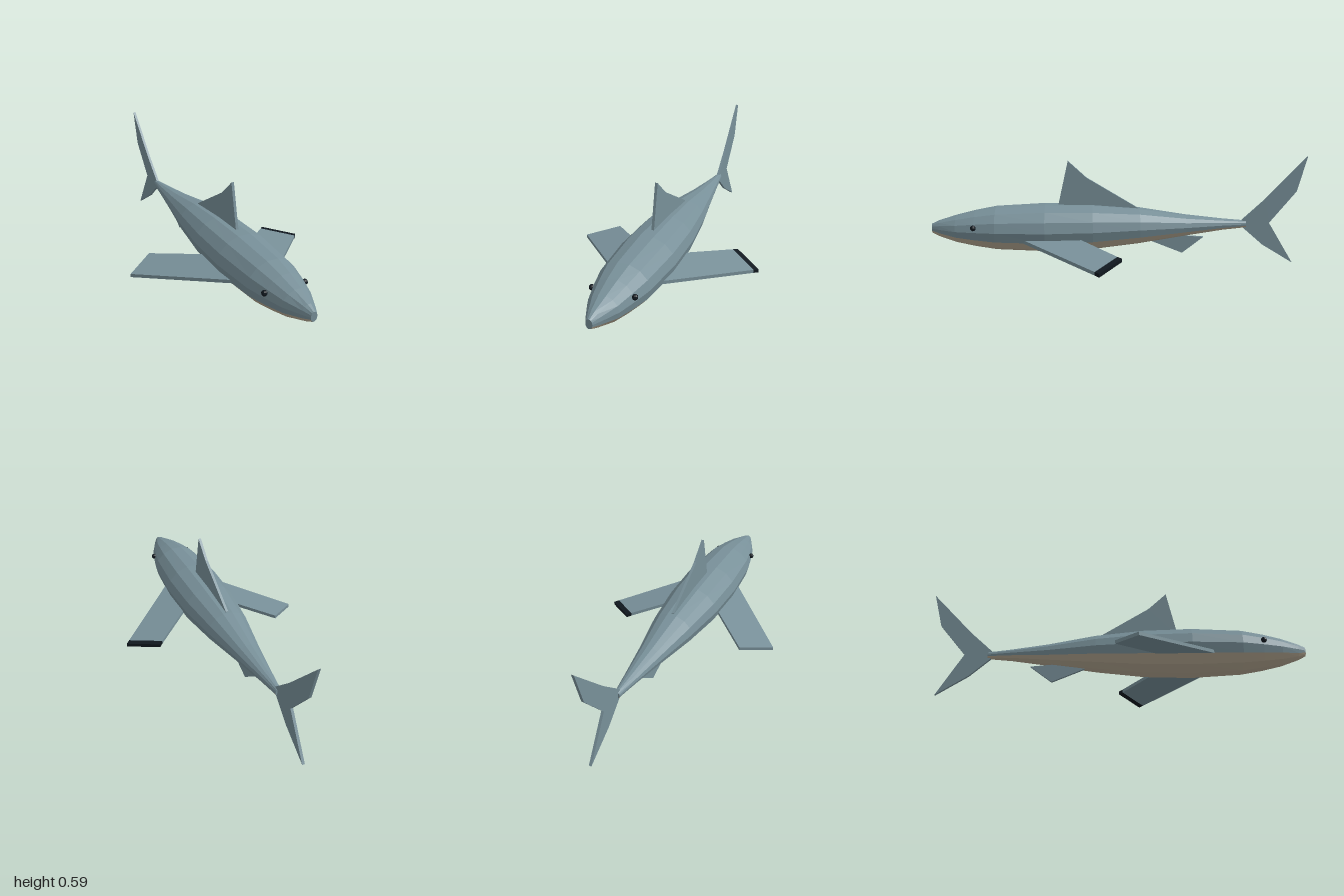
import * as THREE from 'three';

const SIDES = 14;
// Body stations from nose to tail: z, centre height, half width, half height
const STATIONS = [
  [1, 0.22, 0.017, 0.025],
  [0.96, 0.219, 0.038, 0.044],
  [0.87, 0.217, 0.08, 0.073],
  [0.77, 0.218, 0.108, 0.096],
  [0.66, 0.219, 0.133, 0.115],
  [0.4, 0.218, 0.152, 0.128],
  [0.15, 0.219, 0.145, 0.121],
  [-0.1, 0.222, 0.115, 0.096],
  [-0.35, 0.22, 0.069, 0.057],
  [-0.55, 0.222, 0.036, 0.031],
  [-0.68, 0.222, 0.016, 0.019],
];

export function createModel() {
  const model = new THREE.Group();
  model.name = 'fish';
  const make = (name, color) => {
    const m = new THREE.MeshStandardMaterial({ color, flatShading: true });
    m.name = name;
    return m;
  };
  const skin = make('slate skin', 0x789099);
  const cream = make('belly cream', 0xb5a892);
  const dark = make('eye dark', 0x10181f);

  const add = (name, geometry, material) => {
    const mesh = new THREE.Mesh(geometry, material);
    mesh.name = name;
    model.add(mesh);
    return mesh;
  };

  // Skin strips between side indices, lofted through all stations
  const point = (s, i) => {
    const [z, y, w, h] = STATIONS[s];
    const a = (i / SIDES) * Math.PI * 2;
    return [w * Math.cos(a), y + h * Math.sin(a), z];
  };
  const loft = (from, to, caps) => {
    const v = [];
    const last = STATIONS.length - 1;
    for (let s = 0; s < last; s++) {
      for (let i = from; i < to; i++) {
        const a = point(s, i), b = point(s, i + 1);
        const c = point(s + 1, i + 1), d = point(s + 1, i);
        v.push(...a, ...d, ...b, ...b, ...d, ...c);
      }
    }
    if (caps) {
      for (let i = 0; i < SIDES; i++) {
        v.push(0, STATIONS[0][1], STATIONS[0][0], ...point(0, i), ...point(0, i + 1));
        v.push(0, STATIONS[last][1], STATIONS[last][0], ...point(last, i + 1), ...point(last, i));
      }
    }
    const g = new THREE.BufferGeometry();
    g.setAttribute('position', new THREE.Float32BufferAttribute(v, 3));
    g.computeVertexNormals();
    return g;
  };
  add('back', loft(-1, 8, true), skin);
  add('belly', loft(8, 13, false), cream);

  // Flat plates of even thickness
  const plate = (points, depth) => {
    const shape = new THREE.Shape(points.map(([x, y]) => new THREE.Vector2(x, y)));
    return new THREE.ExtrudeGeometry(shape, { depth, bevelEnabled: false }).translate(0, 0, -depth / 2);
  };

  // Upright fins, outlined in z and y
  const uprightFin = (name, points) =>
    add(name, plate(points, 0.014).rotateY(-Math.PI / 2), skin);
  uprightFin('dorsalFin', [[0.335, 0.32], [0.277, 0.575], [0.18, 0.485], [-0.09, 0.32], [-0.09, 0.27]]);
  uprightFin('analFin', [[-0.14, 0.16], [-0.165, 0.135], [-0.335, 0.065], [-0.45, 0.153], [-0.3, 0.165]]);
  uprightFin('tailFin', [
    [-0.655, 0.24], [-0.78, 0.355], [-1, 0.588], [-0.95, 0.4],
    [-0.807, 0.227], [-0.945, 0], [-0.775, 0.105], [-0.655, 0.21],
  ]);

  // Side fins, outlined in x and z, drooping away from the body
  const sideFin = (name, points, side, material) => {
    const g = plate(points.map(([x, z]) => [x * side, z]), 0.018).rotateX(Math.PI / 2);
    const p = g.attributes.position;
    for (let i = 0; i < p.count; i++) {
      p.setY(i, p.getY(i) + 0.196 - 0.184 * Math.abs(p.getX(i)));
    }
    g.computeVertexNormals();
    add(name, g, material);
  };
  const front = [0.495, 0.125], rear = [0.345, 0.01];
  const root = [[0.12, 0.225], [0.12, 0.52]];
  const inset = ([x, z]) => [x - 0.02, z + 0.021];
  sideFin('rightPectoralFin', [...root, front, rear], -1, skin);
  sideFin('leftPectoralFin', [...root, inset(front), inset(rear)], 1, skin);
  sideFin('leftPectoralFinTip', [inset(rear), inset(front), front, rear], 1, dark);

  // Eyes
  for (const side of [-1, 1]) {
    const eye = add(side > 0 ? 'leftEye' : 'rightEye', new THREE.SphereGeometry(0.015, 8, 6), dark);
    eye.position.set(side * 0.108, 0.243, 0.77);
  }
  return model;
}
